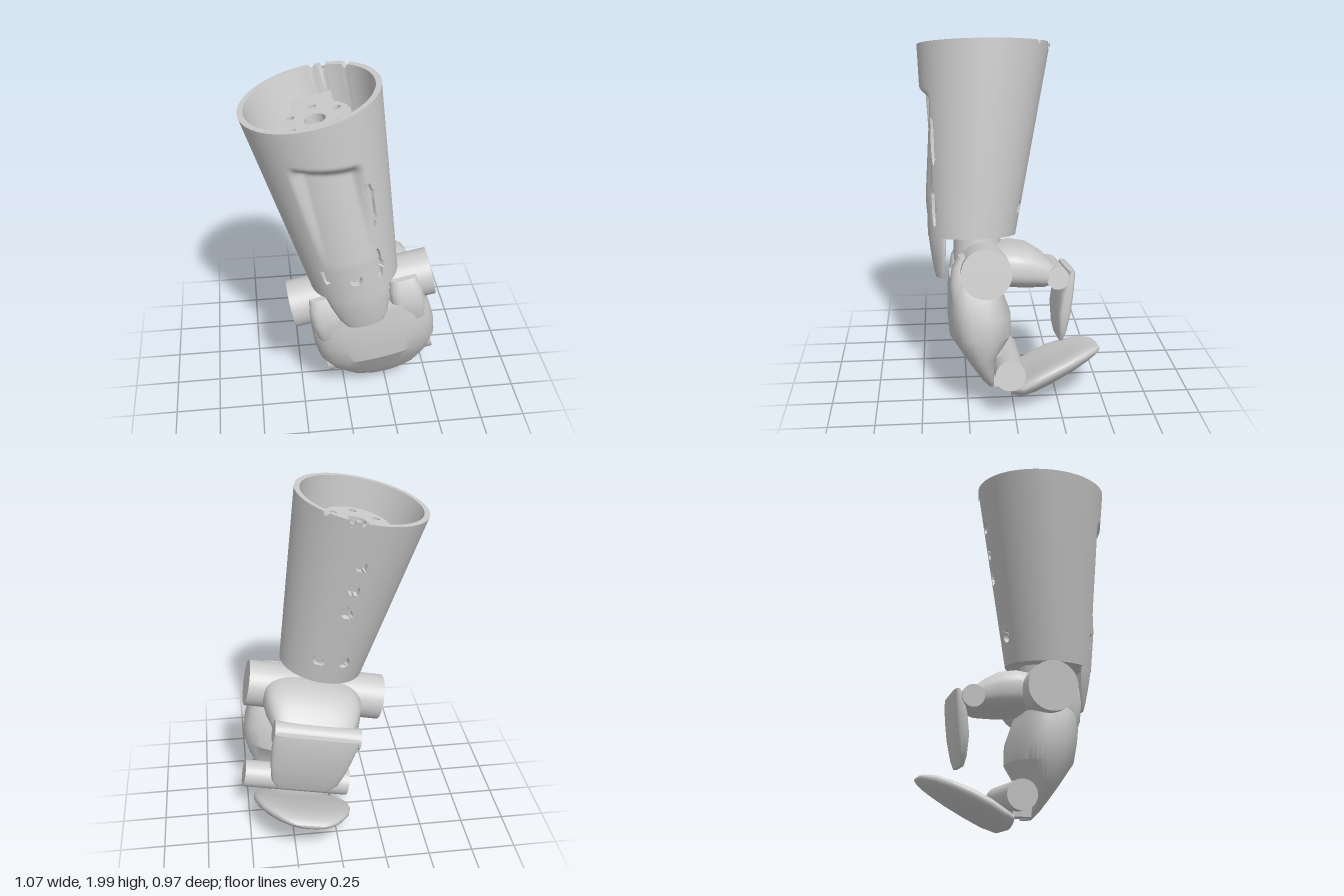
import * as THREE from 'three';
import { toCreasedNormals } from 'three/addons/utils/BufferGeometryUtils.js';

const metal = new THREE.MeshStandardMaterial({ color: 0xcccccc });
metal.name = 'grey metal';

// Sections [y, z, half width, half thickness, own power]; rounded outlines joined in order.
// angle 0: thickness along z, sections run up; angle PI/2: thickness along y, sections run to -z.
function loft(sections, { angle = 0, bend = 0, power = 2.8, crease = 0.6 } = {}) {
  const n = 48, pos = [], index = [];
  const round = (v, p) => Math.sign(v) * Math.abs(v) ** (2 / p);
  for (const [y, z, w, t, p = power] of sections) {
    for (let i = 0; i < n; i++) {
      const a = (i / n) * Math.PI * 2;
      const x = w * round(Math.cos(a), p), s = t * round(Math.sin(a), p) - bend * x * x;
      pos.push(x, y + s * Math.sin(angle), z + s * Math.cos(angle));
    }
  }
  const last = sections.length - 1;
  for (let j = 0; j < last; j++) {
    for (let i = 0; i < n; i++) {
      const a = j * n + i, b = j * n + (i + 1) % n;
      index.push(a, a + n, b, b, a + n, b + n);
    }
  }
  for (const row of [0, last]) {
    const [y, z] = sections[row];
    const c = pos.length / 3;
    pos.push(0, y, z);
    for (let i = 0; i < n; i++) {
      const a = row * n + i, b = row * n + (i + 1) % n;
      if (row) index.push(c, b, a); else index.push(c, a, b);
    }
  }
  const g = new THREE.BufferGeometry();
  g.setAttribute('position', new THREE.Float32BufferAttribute(pos, 3));
  g.setIndex(index);
  return toCreasedNormals(g, crease);
}

// Forearm radius and centre at a given height
const tubeRadius = (y) => 0.24 + (y - 0.88) * 0.116;
const tubeZ = (y) => 0.125 + (1.915 - y) * 0.08;

// Bores and gouges in the sleeve: [angle, height, half width, half length, depth]
const dents = [
  [0.02, 1.0, 0.034, 0.034, 0.03],
  [Math.PI, 1.67, 0.032, 0.032, 0.028], [Math.PI, 1.52, 0.032, 0.032, 0.028], [Math.PI, 1.37, 0.032, 0.032, 0.028],
  [Math.PI - 0.29, 1.03, 0.032, 0.032, 0.028], [Math.PI + 0.29, 1.03, 0.032, 0.032, 0.028],
  [0.62, 1.4, 0.018, 0.13, 0.015], [0.58, 1.04, 0.022, 0.1, 0.018], [-0.6, 1.03, 0.016, 0.045, 0.015],
];

// Hollow tapered sleeve with a recessed front panel, bores and a chipped rim
function sleeve() {
  const profile = [new THREE.Vector2(0, 0.88)];
  for (let i = 0; i <= 80; i++) {
    const y = 0.88 + i * 0.0127;
    profile.push(new THREE.Vector2(tubeRadius(y), y));
  }
  for (const [r, y] of [[0.36, 1.915], [0.33, 1.915], [0.305, 1.72], [0.25, 1.3], [0, 1.3]]) {
    profile.push(new THREE.Vector2(r, y));
  }
  const g = new THREE.LatheGeometry(profile, 180);
  const p = g.attributes.position;
  const { smoothstep } = THREE.MathUtils;
  for (let i = 0; i < p.count; i++) {
    let x = p.getX(i), y = p.getY(i), z = p.getZ(i);
    let r = Math.hypot(x, z), phi = Math.atan2(x, z);
    if (r > tubeRadius(y) - 0.005 && y > 0.9 && y < 1.9) {
      let depth = 0;
      const top = 1.695 - 0.2 * x;
      if (Math.abs(phi) < 0.6) {
        depth = 0.055 * Math.max(0, (y - 1.1) / 0.55)
          * (1 - smoothstep(y, top - 0.07, top)) * (1 - smoothstep(Math.abs(phi), 0.4, 0.58));
      }
      for (const [a, h, hw, hl, d] of dents) {
        let da = phi - a;
        if (da < -Math.PI) da += Math.PI * 2;
        const q = Math.hypot(da * r / hw, (y - h) / hl);
        if (q > 1.35) continue;
        if (q < 1) depth += d;
        // Pull the nearest rings of points onto the outline
        if (q > 0.65) {
          const k = (q < 1 ? 0.96 : 1) / q;
          phi = a + da * k;
          y = h + (y - h) * k;
          r = tubeRadius(y);
        }
        break;
      }
      r -= depth;
      x = r * Math.sin(phi);
      z = r * Math.cos(phi);
    }
    const zc = tubeZ(y);
    if (y > 1.91) {
      for (const [a, d] of [[2.85, 0.035], [3.02, 0.02], [2.45, 0.02]]) if (Math.abs(phi - a) < 0.04) y -= d;
    }
    p.setXYZ(i, x, y, z + zc);
  }
  return toCreasedNormals(g, 0.9);
}

// Round mounting plate with a centre bore and bolt holes
function mountPlate() {
  const s = new THREE.Shape().absarc(0, 0, 0.185, 0, Math.PI * 2);
  s.holes.push(new THREE.Path().absarc(0, 0, 0.055, 0, Math.PI * 2, true));
  for (let i = 0; i < 6; i++) {
    const a = (i + 0.5) * Math.PI / 3;
    s.holes.push(new THREE.Path().absarc(0.138 * Math.cos(a), 0.138 * Math.sin(a), 0.02, 0, Math.PI * 2, true));
  }
  return new THREE.ExtrudeGeometry(s, { depth: 0.05, bevelEnabled: false, curveSegments: 24 }).rotateX(-Math.PI / 2);
}

export function createModel() {
  const root = new THREE.Group();
  root.name = 'mechanicalForearm';
  const arm = new THREE.Group();
  arm.name = 'tiltedArm';
  arm.rotation.z = THREE.MathUtils.degToRad(12);
  arm.position.set(0.22, 0.047, 0);
  root.add(arm);

  const add = (name, geometry, x = 0, y = 0, z = 0) => {
    const m = new THREE.Mesh(geometry, metal);
    m.name = name;
    m.position.set(x, y, z);
    arm.add(m);
  };
  // Horizontal pin running from x0 to x1
  const pin = (name, x0, x1, y, z, r) =>
    add(name, new THREE.CylinderGeometry(r, r, x1 - x0, 36).rotateZ(Math.PI / 2), (x0 + x1) / 2, y, z);

  // Forearm
  add('forearmSleeve', sleeve());
  add('frontTongue', loft([
    [0.655, 0.392, 0.1, 0.02], [0.7, 0.4, 0.13, 0.022], [0.8, 0.412, 0.16, 0.025],
    [0.9, 0.422, 0.18, 0.026], [0.97, 0.415, 0.17, 0.022],
  ], { bend: 2 }));
  add('mountPlate', mountPlate(), 0, 1.74, 0.135);
  add('mountCore', new THREE.CylinderGeometry(0.1, 0.1, 0.44, 36), 0, 1.52, 0.14);
  add('mountBracket', new THREE.BoxGeometry(0.22, 0.07, 0.14), 0, 1.745, -0.085);
  add('wristNeck', new THREE.CylinderGeometry(0.13, 0.13, 0.16, 32), 0, 0.82, 0.18);

  // Knuckle and palm
  pin('mainKnuckle', -0.38, 0.41, 0.72, 0.15, 0.132);
  add('palmShell', loft([
    [0.05, 0.12, 0.1, 0.02, 2.4], [0.1, 0.14, 0.18, 0.04, 2.4], [0.16, 0.157, 0.23, 0.064, 2.4],
    [0.23, 0.176, 0.28, 0.092, 2.4], [0.35, 0.175, 0.335, 0.17, 2.5], [0.46, 0.181, 0.345, 0.172, 2.9],
    [0.58, 0.2, 0.335, 0.15, 3.6], [0.675, 0.21, 0.31, 0.13, 3.6],
  ], { crease: 0.45 }), 0.03);
  for (const side of [-1, 1]) {
    add('palmWing', loft([
      [0.45, 0.22, 0.06, 0.06], [0.56, 0.235, 0.085, 0.1], [0.66, 0.238, 0.095, 0.1],
      [0.74, 0.232, 0.09, 0.092], [0.8, 0.22, 0.075, 0.07],
    ], { power: 3.5 }), 0.025 + side * 0.225);
  }

  // Lower finger
  add('fingerLink', new THREE.BoxGeometry(0.32, 0.18, 0.1), 0, 0.15, 0.06);
  pin('fingerKnuckle', -0.29, 0.34, 0.165, 0.03, 0.08);
  add('fingerPad', loft([
    [0.025, 0.01, 0.21, 0.035], [0.028, -0.04, 0.265, 0.054], [0.065, -0.12, 0.28, 0.066],
    [0.113, -0.22, 0.275, 0.066], [0.16, -0.32, 0.245, 0.06], [0.198, -0.4, 0.198, 0.05],
    [0.217, -0.45, 0.15, 0.036], [0.226, -0.475, 0.115, 0.022], [0.228, -0.488, 0.08, 0.008],
  ], { angle: Math.PI / 2, power: 2.3, bend: -0.6 }));

  // Rear thumb
  add('thumbBlock', loft([
    [0.725, 0.08, 0.27, 0.11], [0.725, 0, 0.28, 0.12], [0.715, -0.09, 0.268, 0.115],
    [0.69, -0.17, 0.24, 0.09], [0.67, -0.235, 0.21, 0.05],
  ], { angle: Math.PI / 2, power: 3 }), 0.04);
  pin('thumbKnuckle', -0.215, 0.27, 0.665, -0.235, 0.06);
  add('thumbPad', loft([
    [0.31, -0.258, 0.15, 0.012], [0.36, -0.262, 0.19, 0.026], [0.47, -0.272, 0.215, 0.042],
    [0.58, -0.288, 0.23, 0.04], [0.66, -0.305, 0.235, 0.028], [0.7, -0.313, 0.235, 0.018],
  ], { power: 4 }), 0.04);
  return root;
}
